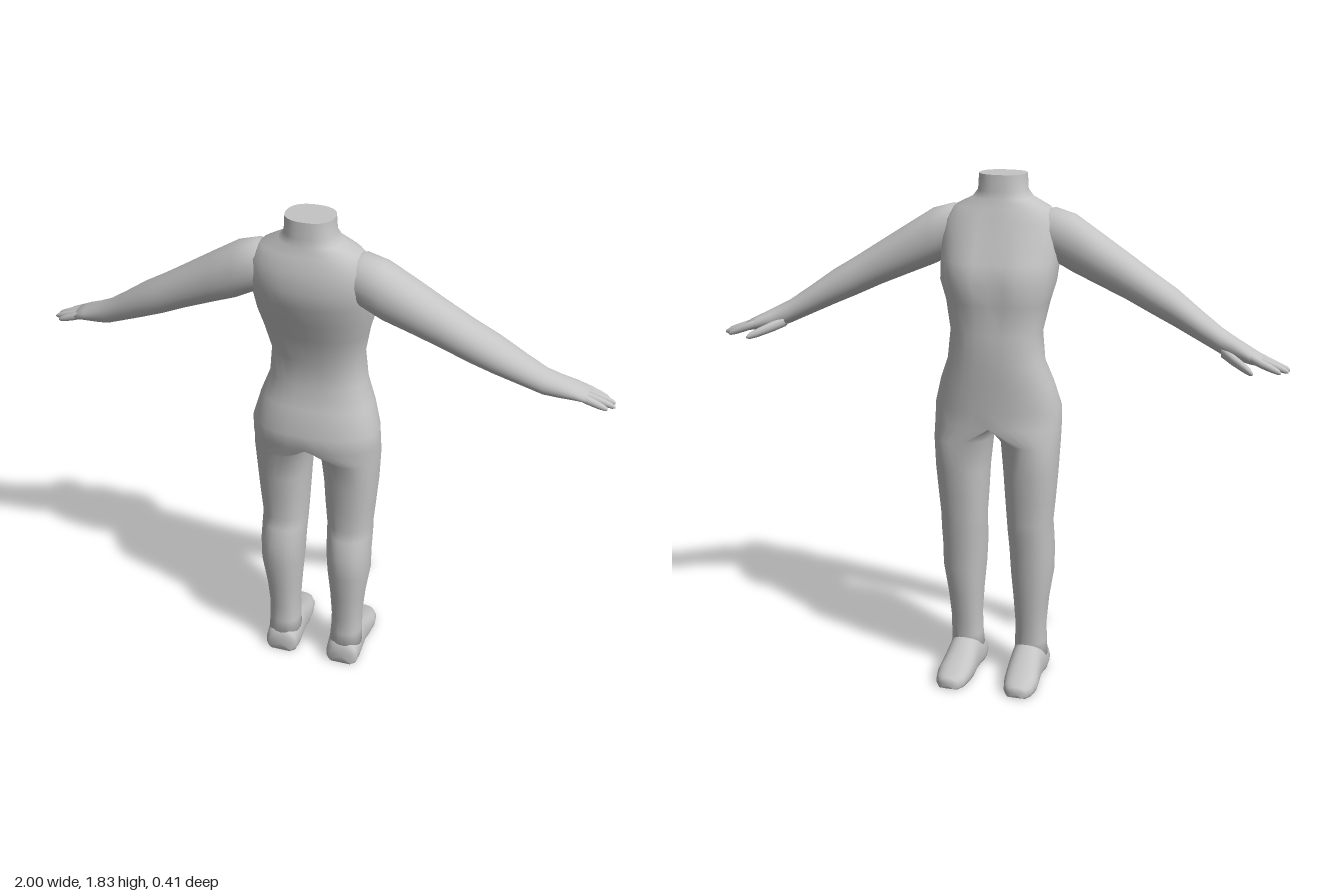
import * as THREE from 'three';
import { mergeGeometries, mergeVertices } from 'three/addons/utils/BufferGeometryUtils.js';

const SEG = 28;

// Closed ring: u and v run along a rounded superellipse with values in -1..1
function ring(place, power = 2.2) {
  const pts = [];
  for (let i = 0; i < SEG; i++) {
    const a = (i / SEG) * Math.PI * 2;
    const soft = (t) => (Math.abs(t) < 1e-6 ? 0 : Math.sign(t) * Math.abs(t) ** (2 / power));
    pts.push(place(soft(Math.cos(a)), soft(Math.sin(a))));
  }
  return pts;
}

// Skin over rings; side = -1 mirrors to the other half
function loft(rings, side = 1, capStart = false, capEnd = false) {
  const pos = [], index = [];
  const add = (p) => pos.push(p[0] * side, p[1], p[2]);
  const tri = (a, b, c) => (side > 0 ? index.push(a, b, c) : index.push(a, c, b));
  rings.forEach((r) => r.forEach(add));
  for (let j = 0; j < rings.length - 1; j++) {
    for (let i = 0; i < SEG; i++) {
      const k = (i + 1) % SEG;
      const a = j * SEG + i, b = j * SEG + k;
      tri(a, b, a + SEG);
      tri(b, b + SEG, a + SEG);
    }
  }
  const cap = (j, flip) => {
    const centre = [0, 1, 2].map((n) => rings[j].reduce((s, p) => s + p[n], 0) / SEG);
    const c = pos.length / 3;
    add(centre);
    for (let i = 0; i < SEG; i++) {
      const a = j * SEG + i, b = j * SEG + ((i + 1) % SEG);
      flip ? tri(c, b, a) : tri(c, a, b);
    }
  };
  if (capStart) cap(0, true);
  if (capEnd) cap(rings.length - 1, false);
  const g = new THREE.BufferGeometry();
  g.setAttribute('position', new THREE.Float32BufferAttribute(pos, 3));
  g.setIndex(index);
  g.computeVertexNormals();
  return g;
}

// Horizontal section: height, inner x, outer x, front z, back z
function levelRing([y, x0, x1, zf, zb], power, dent = 0) {
  const cx = (x0 + x1) / 2, rx = (x1 - x0) / 2, cz = (zf + zb) / 2, rz = (zb - zf) / 2;
  return ring((u, v) => {
    const x = cx + rx * u;
    const groove = v < 0 ? dent * Math.exp(-((x / 0.04) ** 2)) : 0;
    return [x, y, cz + rz * v + groove];
  }, power);
}

// Section across the arm: x, centre y, centre z, half height, half depth
const armRing = ([x, y, z, ry, rz]) => ring((u, v) => [x, y - ry * v, z + rz * u], 2.1);

// Section across the foot: z, centre x, half width, height, sole lift
const footRing = ([z, x, rx, h, lift]) =>
  ring((u, v) => [x + rx * u, Math.max(lift, h * 0.35 - h * 0.65 * v), z], 2.3);

// Torso from the neck down: y, half width, front z, back z, centre dent
const TORSO = [
  [1.825, 0.082, 0.012, 0.155, 0],
  [1.77, 0.085, 0.006, 0.16, 0],
  [1.745, 0.105, 0, 0.165, 0],
  [1.715, 0.165, -0.012, 0.175, 0],
  [1.67, 0.205, -0.035, 0.195, 0.005],
  [1.6, 0.21, -0.068, 0.205, 0.01],
  [1.54, 0.205, -0.1, 0.192, 0.014],
  [1.47, 0.2, -0.128, 0.17, 0.016],
  [1.4, 0.18, -0.108, 0.143, 0.006],
  [1.3, 0.16, -0.114, 0.112, 0],
  [1.2, 0.17, -0.117, 0.108, 0],
  [1.12, 0.2, -0.112, 0.13, 0],
  [1.03, 0.224, -0.11, 0.16, 0],
  [0.97, 0.226, -0.11, 0.153, 0],
];

// Legs: y, inner x, outer x, front z, back z
const LEG = [
  [0.91, 0.018, 0.225, -0.107, 0.125],
  [0.8, 0.028, 0.22, -0.1, 0.108],
  [0.7, 0.034, 0.212, -0.09, 0.102],
  [0.61, 0.04, 0.204, -0.081, 0.093],
  [0.57, 0.042, 0.205, -0.08, 0.105],
  [0.5, 0.045, 0.205, -0.068, 0.125],
  [0.41, 0.05, 0.204, -0.062, 0.122],
  [0.3, 0.06, 0.187, -0.048, 0.107],
  [0.2, 0.066, 0.178, -0.033, 0.096],
  [0.13, 0.064, 0.179, -0.027, 0.096],
  [0.06, 0.06, 0.182, -0.025, 0.104],
];

const FOOT = [
  [0.108, 0.12, 0.045, 0.07, 0],
  [0.095, 0.12, 0.06, 0.09, 0],
  [0.05, 0.12, 0.064, 0.115, 0],
  [0, 0.12, 0.062, 0.132, 0.012],
  [-0.03, 0.12, 0.06, 0.125, 0.012],
  [-0.08, 0.122, 0.062, 0.094, 0.004],
  [-0.13, 0.126, 0.062, 0.069, 0],
  [-0.175, 0.127, 0.053, 0.05, 0],
  [-0.197, 0.127, 0.038, 0.042, 0],
  [-0.205, 0.127, 0.02, 0.034, 0.004],
];

const ARM = [
  [0.1, 1.635, 0.085, 0.06, 0.06],
  [0.18, 1.625, 0.084, 0.09, 0.078],
  [0.25, 1.597, 0.083, 0.098, 0.082],
  [0.34, 1.55, 0.073, 0.088, 0.079],
  [0.44, 1.497, 0.064, 0.077, 0.073],
  [0.53, 1.447, 0.053, 0.069, 0.07],
  [0.61, 1.405, 0.04, 0.062, 0.067],
  [0.7, 1.352, 0.02, 0.05, 0.056],
  [0.77, 1.312, 0.004, 0.042, 0.048],
  [0.82, 1.293, -0.012, 0.035, 0.046],
  [0.87, 1.277, -0.028, 0.026, 0.049],
  [0.91, 1.264, -0.034, 0.018, 0.045],
];

// Fingers: root z, tip z, tip x
const FINGERS = [
  [-0.065, -0.075, 0.975],
  [-0.044, -0.052, 0.997],
  [-0.021, -0.027, 1.0],
  [0.0, -0.006, 0.978],
];

function digit(root, tip, ry, rz) {
  const steps = [[0, 1], [0.35, 1.05], [0.7, 0.9], [0.92, 0.65], [1, 0.25]];
  return steps.map(([t, s]) => {
    const p = root.map((v, n) => v + (tip[n] - v) * t);
    return armRing([p[0], p[1], p[2], ry * s, rz * s]);
  });
}

export function createModel() {
  const model = new THREE.Group();
  model.name = 'headlessFigure';
  const skin = new THREE.MeshStandardMaterial({ color: 0xc4c4c4 });
  skin.name = 'plain grey';
  const addMesh = (name, geometry, parent = model) => {
    const mesh = new THREE.Mesh(geometry, skin);
    mesh.name = name;
    parent.add(mesh);
  };

  // Torso and legs share the hip ring, so they join in one smooth skin
  const torso = TORSO.map(([y, w, zf, zb, dent]) => levelRing([y, -w, w, zf, zb], 2.35, dent));
  const hip = torso[torso.length - 1];
  const halfHip = hip.map(([x, y, z]) => [Math.max(0, x), y, z]);
  const legRings = [halfHip, ...LEG.map((s) => levelRing(s, 2.25))];
  const parts = [loft(torso), loft(legRings, 1, false, true), loft(legRings, -1, false, true)];
  parts.forEach((g) => g.deleteAttribute('normal'));
  const body = mergeVertices(mergeGeometries(parts), 1e-4);
  body.computeVertexNormals();
  addMesh('torsoAndLegs', body);

  // Flat top of the neck
  addMesh('neckTop', loft([torso[0]], 1, true));

  for (const [side, label] of [[1, 'left'], [-1, 'right']]) {
    addMesh(label + 'Foot', loft(FOOT.map(footRing), side, true, true));
    addMesh(label + 'Arm', loft(ARM.map(armRing), side, true, true));
    const hand = new THREE.Group();
    hand.name = label + 'Hand';
    FINGERS.forEach(([z0, z1, x], i) => {
      const rings = digit([0.875, 1.276, z0], [x, 1.237, z1], 0.014, 0.0125);
      addMesh(label + 'Finger' + (i + 1), loft(rings, side, true, true), hand);
    });
    const thumb = digit([0.775, 1.283, -0.025], [0.888, 1.238, -0.112], 0.018, 0.021);
    addMesh(label + 'Thumb', loft(thumb, side, true, true), hand);
    model.add(hand);
  }
  return model;
}
